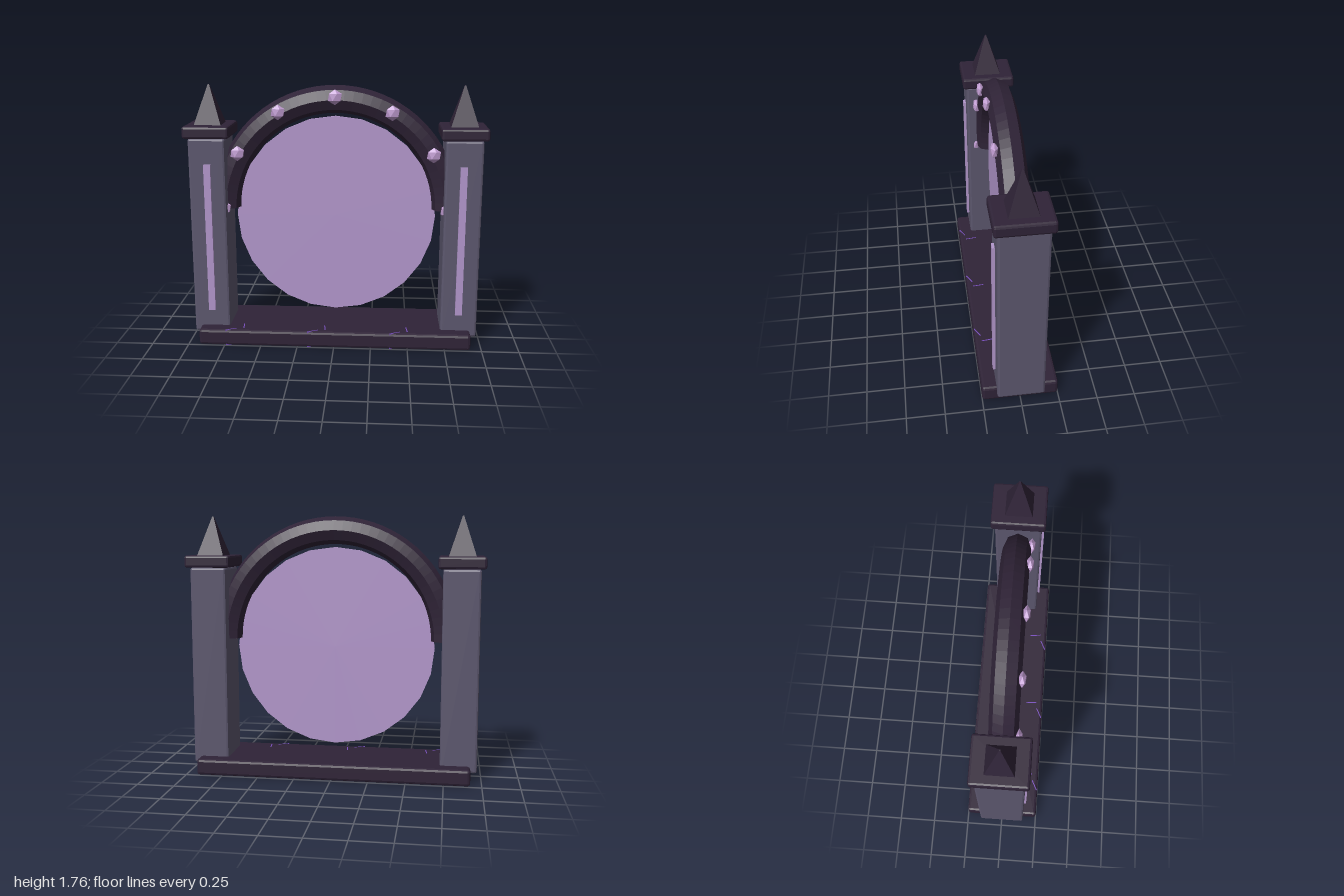
import * as THREE from 'three';
import { RoundedBoxGeometry } from 'three/addons/geometries/RoundedBoxGeometry.js';

const material = (name, color, flatShading = true) => {
  const m = new THREE.MeshStandardMaterial({ color, flatShading });
  m.name = name;
  return m;
};

export function createModel() {
  const dark = material('dark stone', 0x2f2337);
  const stone = material('grey stone', 0x5c576e);
  const glow = material('violet glow', 0xb397cc);
  const crystal = material('pale crystal', 0xbf9bd0);
  const vein = material('purple vein', 0x7a4fc0);

  const model = new THREE.Group();
  model.name = 'portalGate';
  const add = (parent, name, geometry, mat, x = 0, y = 0, z = 0) => {
    const mesh = new THREE.Mesh(geometry, mat);
    mesh.name = name;
    mesh.position.set(x, y, z);
    parent.add(mesh);
    return mesh;
  };
  // Box with a single chamfer on every edge
  const block = (w, h, d, bevel) => new RoundedBoxGeometry(w, h, d, 1, bevel);

  // Base slab
  add(model, 'base', block(1.85, 0.11, 0.5, 0.018), dark, 0, 0.055, 0);

  // Thin cracks running over the front of the slab
  for (const x of [-0.62, -0.06, 0.5]) {
    const crack = new THREE.Group();
    crack.name = 'crack';
    crack.position.set(x, 0.055, 0);
    const inner = add(crack, 'crackInner', new THREE.BoxGeometry(0.007, 0.112, 0.08), vein, -0.005, 0, 0.165);
    inner.rotation.y = 0.12;
    const outer = add(crack, 'crackOuter', new THREE.BoxGeometry(0.007, 0.112, 0.08), vein, -0.085, 0, 0.226);
    outer.rotation.y = -1.1;
    model.add(crack);
  }

  // Pillars with glowing strip, cap and pyramid spire
  for (const side of [-1, 1]) {
    const pillar = new THREE.Group();
    pillar.name = side > 0 ? 'leftPillar' : 'rightPillar';
    pillar.position.x = side * 0.846;
    add(pillar, 'shaft', block(0.246, 1.35, 0.31, 0.015), stone, 0, 0.737, 0);
    add(pillar, 'glowStrip', new THREE.BoxGeometry(0.046, 1.015, 0.03), glow, -side * 0.003, 0.733, 0.157);
    add(pillar, 'cap', block(0.308, 0.08, 0.36, 0.015), dark, 0, 1.453, 0);
    const spire = new THREE.CylinderGeometry(0.006, 0.128, 0.265, 4).rotateY(Math.PI / 4);
    add(pillar, 'spire', spire, dark, 0, 1.623, 0);
    model.add(pillar);
  }

  // Half-ring arch with closed ends
  const springY = 0.925, ring = 0.737, tube = 0.092;
  add(model, 'arch', new THREE.TorusGeometry(ring, tube, 8, 40, Math.PI), dark, 0, springY, 0);
  for (const side of [-1, 1]) {
    add(model, 'archEnd', new THREE.CircleGeometry(tube, 8).rotateX(Math.PI / 2), dark, side * ring, springY, 0);
  }

  // Flattened crystals along the arch front, each with a vertex pointing up
  const gem = new THREE.IcosahedronGeometry(0.051, 0).rotateZ(-0.5536).scale(1, 1, 0.52);
  for (let i = 0; i <= 6; i++) {
    const a = (i * Math.PI) / 6;
    add(model, 'crystal', gem, crystal, 0.75 * Math.cos(a), 0.932 + 0.75 * Math.sin(a), 0.095);
  }

  // Portal disc
  const disc = new THREE.CylinderGeometry(0.675, 0.675, 0.02, 24).rotateX(Math.PI / 2);
  add(model, 'portal', disc, glow, 0, 0.875, 0);

  return model;
}
